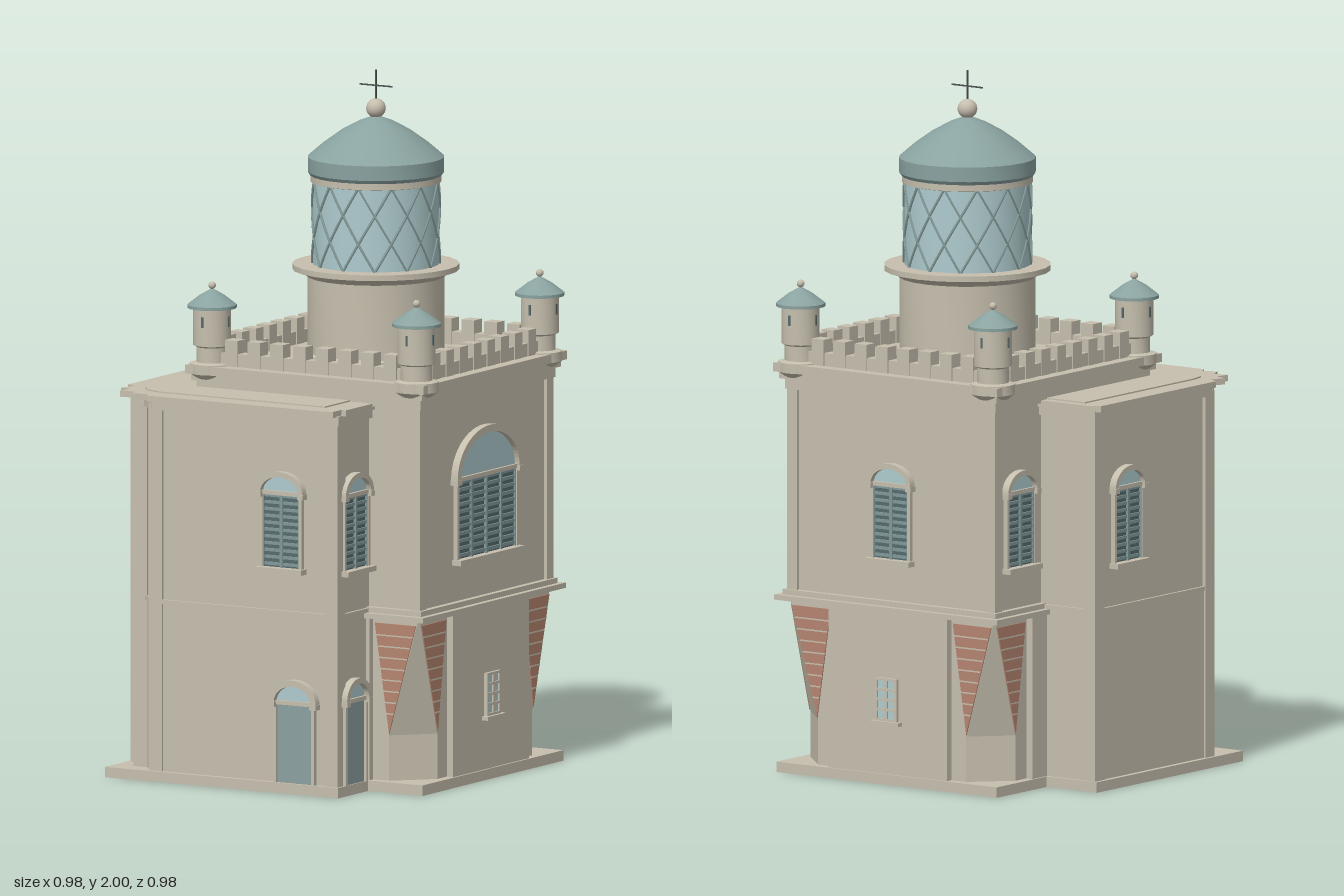
import * as THREE from 'three';
import { toCreasedNormals } from 'three/addons/utils/BufferGeometryUtils.js';

const mat = (name, color) => Object.assign(new THREE.MeshStandardMaterial({ color }), { name });
const stone = mat('stone', 0xc6bfae);
const roofMetal = mat('roofMetal', 0x8aa3a0);
const glass = mat('glass', 0xaecbce);
const doorPaint = mat('doorPaint', 0x8ba09f);
const shutterDark = mat('shutterDark', 0x566b6d);
const slatPaint = mat('slatPaint', 0x82999a);
const brick = mat('brick', 0xb58570);
const iron = mat('iron', 0x4c5251);

const CX = 0.083, CZ = -0.087; // tower axis

function add(parent, name, geo, material, x = 0, y = 0, z = 0) {
  const m = new THREE.Mesh(geo, material);
  m.name = name;
  m.position.set(x, y, z);
  parent.add(m);
  return m;
}
// Box given by its x, y and z ranges
function block(parent, name, x0, x1, y0, y1, z0, z1, material = stone) {
  return add(parent, name, new THREE.BoxGeometry(x1 - x0, y1 - y0, z1 - z0), material,
    (x0 + x1) / 2, (y0 + y1) / 2, (z0 + z1) / 2);
}
// Flat slab from a plan of [x, z] points
function slab(parent, name, plan, y0, y1, material = stone) {
  const shape = new THREE.Shape(plan.map(([x, z]) => new THREE.Vector2(x, -z)));
  const geo = new THREE.ExtrudeGeometry(shape, { depth: y1 - y0, bevelEnabled: false }).rotateX(-Math.PI / 2);
  return add(parent, name, geo, material, 0, y0, 0);
}
function lathe(parent, name, profile, sides, material) {
  const geo = new THREE.LatheGeometry(profile.map(p => new THREE.Vector2(...p)), sides);
  return add(parent, name, toCreasedNormals(geo, 0.5), material);
}
const square = (h, y0, y1, parent, name) => block(parent, name, -h, h, y0, y1, -h, h);
// Group whose local +z points out of a wall
function onWall(parent, name, x, z, turn) {
  const g = new THREE.Group();
  g.name = name;
  g.position.set(x, 0, z);
  g.rotation.y = turn * Math.PI / 2;
  parent.add(g);
  return g;
}

// Arched opening: lunette glass, stone surround, and either louvred shutters or a door
function archedOpening(g, w, y0, spring, rise, t, leaves) {
  const lunette = new THREE.Shape().absellipse(0, 0, w, rise, 0, Math.PI, false);
  add(g, 'archGlass', new THREE.ExtrudeGeometry(lunette, { depth: 0.006, bevelEnabled: false, curveSegments: 16 }), glass, 0, spring, 0);
  const ring = new THREE.Shape();
  ring.moveTo(w + t, 0);
  ring.absellipse(0, 0, w + t, rise + t, 0, Math.PI, false);
  ring.lineTo(-w, 0);
  ring.absellipse(0, 0, w, rise, Math.PI, 0, true);
  add(g, 'archSurround', new THREE.ExtrudeGeometry(ring, { depth: 0.022, bevelEnabled: false, curveSegments: 16 }), stone, 0, spring, 0);
  block(g, 'transom', -w, w, spring - 0.008, spring + 0.004, 0, 0.014);
  for (const s of [-1, 1]) {
    block(g, 'jamb', s * (w + 0.003) - 0.005, s * (w + 0.003) + 0.005, y0, spring, 0, 0.014);
    block(g, 'impost', s * (w + t / 2) - t / 2 - 0.002, s * (w + t / 2) + t / 2 + 0.002, spring - 0.015, spring, 0, 0.024);
  }
  if (!leaves) {
    block(g, 'door', -w, w, y0, spring, 0, 0.006, doorPaint);
    return;
  }
  block(g, 'sill', -w - 0.015, w + 0.015, y0 - 0.015, y0, 0, 0.03);
  block(g, 'shutterBack', -w, w, y0, spring, 0, 0.004, shutterDark);
  const leaf = 2 * w / leaves, rows = 11, step = (spring - y0) / rows;
  for (let i = 0; i < leaves; i++) {
    const x0 = -w + i * leaf;
    for (let r = 0; r < rows; r++)
      block(g, 'slat', x0 + 0.006, x0 + leaf - 0.006, y0 + r * step + 0.005, y0 + (r + 0.7) * step, 0.003, 0.009, slatPaint);
    for (const x of [x0, x0 + leaf - 0.005]) block(g, 'shutterStile', x, x + 0.005, y0, spring, 0, 0.011, slatPaint);
  }
}
// Small barred window, two panes by four
function barredWindow(g) {
  block(g, 'pane', -0.034, 0.034, 0.185, 0.3, 0, 0.005, glass);
  for (const x of [-0.034, 0, 0.034]) block(g, 'bar', x - 0.004, x + 0.004, 0.185, 0.3, 0, 0.01);
  for (let i = 0; i < 5; i++) block(g, 'bar', -0.038, 0.038, 0.183 + i * 0.029, 0.19 + i * 0.029, 0, 0.01);
  block(g, 'sill', -0.05, 0.05, 0.172, 0.183, 0, 0.02);
}

// Square storey whose corners are cut back towards the ground
function chamferedCore(h) {
  const rings = [[0.02, 0.1], [0.16, 0.1], [0.48, 0.008], [0.51, 0]].map(([y, c]) => {
    const k = h - c;
    return [[h, -k], [h, k], [k, h], [-k, h], [-h, k], [-h, -k], [-k, -h], [k, -h]].map(([x, z]) => [x, y, z]);
  });
  const pos = [];
  for (let r = 0; r < 3; r++) for (let i = 0; i < 8; i++) {
    const j = (i + 1) % 8, a = rings[r][i], b = rings[r][j], c = rings[r + 1][j], d = rings[r + 1][i];
    pos.push(...a, ...c, ...b, ...a, ...d, ...c);
  }
  const geo = new THREE.BufferGeometry();
  geo.setAttribute('position', new THREE.Float32BufferAttribute(pos, 3));
  geo.computeVertexNormals();
  return geo;
}
// Leaning brick triangle with mortar courses; s mirrors it
function brickTriangle(g, s) {
  const tri = new THREE.Shape([[0.215, 0.48], [0.262, 0.165], [0.35, 0.48]].map(([x, y]) => new THREE.Vector2(s * x, y)));
  add(g, 'brickwork', new THREE.ExtrudeGeometry(tri, { depth: 0.003, bevelEnabled: false }), brick);
  for (let y = 0.22; y < 0.47; y += 0.032) {
    const f = (y - 0.165) / 0.315, a = s * (0.262 - 0.047 * f), b = s * (0.262 + 0.088 * f);
    block(g, 'mortarCourse', Math.min(a, b), Math.max(a, b), y, y + 0.004, 0, 0.004);
  }
}

function buildTower() {
  const tower = new THREE.Group();
  tower.name = 'tower';
  tower.position.set(CX, 0, CZ);
  square(0.387, 0, 0.03, tower, 'plinth');
  add(tower, 'lowerStorey', chamferedCore(0.36), stone);
  square(0.392, 0.495, 0.51, tower, 'ledge');
  square(0.375, 0.51, 0.525, tower, 'ledgeTop');
  square(0.357, 0.5, 1.16, tower, 'upperStorey');
  square(0.37, 1.1, 1.13, tower, 'frieze');
  square(0.382, 1.13, 1.15, tower, 'corniceLower');
  square(0.394, 1.15, 1.175, tower, 'cornice');
  for (let i = 0; i < 4; i++) {
    const a = i * Math.PI / 2;
    const face = onWall(tower, 'towerFace', Math.sin(a) * 0.36, Math.cos(a) * 0.36, i);
    block(face, 'lowerPanel', -0.208, 0.208, 0.02, 0.5, -0.02, 0.021);
    for (const s of [-1, 1]) {
      brickTriangle(face, s);
      block(face, 'cornerStrip', s * 0.351 - 0.015, s * 0.351 + 0.015, 0.52, 1.11, -0.03, 0.006);
    }
    // battlements
    block(face, 'parapet', -0.32, 0.32, 1.17, 1.212, -0.04, -0.004);
    for (let k = 0; k < 8; k++) {
      const x = (k - 3.5) * 0.075;
      block(face, 'merlon', x - 0.021, x + 0.021, 1.17, 1.25, -0.043, -0.001);
    }
  }
  // windows on the exposed sides
  archedOpening(onWall(tower, 'largeWindow', 0.357, 0, 1), 0.16, 0.645, 0.875, 0.118, 0.02, 4);
  archedOpening(onWall(tower, 'backWindow', 0, -0.357, 2), 0.062, 0.645, 0.86, 0.045, 0.015, 2);
  archedOpening(onWall(tower, 'sideWindow', -0.357, -0.243, 3), 0.062, 0.645, 0.86, 0.045, 0.015, 2);
  barredWindow(onWall(tower, 'barredWindowSide', 0.381, 0, 1));
  barredWindow(onWall(tower, 'barredWindowBack', 0, -0.381, 2));
  // corner turrets
  for (const sx of [-1, 1]) for (const sz of [-1, 1]) {
    const t = new THREE.Group();
    t.name = 'turret';
    t.position.set(sx * 0.338, 0, sz * 0.338);
    tower.add(t);
    lathe(t, 'turretBody', [[0, 1.13], [0.045, 1.135], [0.064, 1.15], [0.064, 1.178], [0.045, 1.182],
      [0.045, 1.225], [0.054, 1.23], [0.054, 1.34]], 20, stone);
    lathe(t, 'turretRoof', [[0, 1.336], [0.07, 1.336], [0.07, 1.345], [0.035, 1.372], [0, 1.392]], 20, roofMetal);
    add(t, 'turretFinial', new THREE.SphereGeometry(0.011, 10, 8), stone, 0, 1.4, 0);
    for (let i = 0; i < 4; i++) {
      const a = i * Math.PI / 2;
      block(onWall(t, 'slit', Math.sin(a) * 0.052, Math.cos(a) * 0.052, i), 'slitOpening', -0.003, 0.003, 1.285, 1.315, 0, 0.004, shutterDark);
    }
  }
  return tower;
}

function buildLantern() {
  const g = new THREE.Group();
  g.name = 'lantern';
  g.position.set(CX, 0, CZ);
  lathe(g, 'drum', [[0.205, 1.17], [0.205, 1.19], [0.194, 1.195], [0.194, 1.41], [0.215, 1.425], [0.237, 1.43],
    [0.237, 1.446], [0, 1.446]], 24, stone);
  lathe(g, 'lanternGlass', [[0.179, 1.44], [0.179, 1.7]], 32, glass);
  lathe(g, 'lanternTopBand', [[0.179, 1.68], [0.186, 1.682], [0.186, 1.71]], 32, stone);
  // diagonal glazing bars winding both ways
  for (let i = 0; i < 12; i++) for (const s of [-1, 1]) {
    const pts = [];
    for (let k = 0; k <= 8; k++) {
      const a = i * Math.PI / 6 + s * k * 0.098;
      pts.push(new THREE.Vector3(Math.sin(a) * 0.181, 1.445 + k * 0.03, Math.cos(a) * 0.181));
    }
    add(g, 'glazingBar', new THREE.TubeGeometry(new THREE.CatmullRomCurve3(pts), 12, 0.004, 4), roofMetal);
  }
  lathe(g, 'lanternRoof', [[0, 1.7], [0.187, 1.7], [0.194, 1.71], [0.194, 1.752], [0.15, 1.79], [0.1, 1.826],
    [0.05, 1.853], [0, 1.872]], 28, roofMetal);
  add(g, 'ball', new THREE.SphereGeometry(0.028, 20, 14), stone, 0, 1.89, 0);
  block(g, 'vaneMast', -0.002, 0.002, 1.91, 2, -0.002, 0.002, iron);
  block(g, 'vaneArm', -0.054, 0.054, 1.953, 1.957, -0.002, 0.002, iron);
  return g;
}

function buildWing() {
  const g = new THREE.Group();
  g.name = 'wing';
  // plan with a cut front corner, grown outwards by o
  const plan = o => [[-0.465 - o, -0.225 - o], [0.28 + o, -0.225 - o], [0.28 + o, 0.45 + o],
    [-0.33 - o * 0.4, 0.45 + o], [-0.465 - o, 0.33 + o * 0.4]];
  block(g, 'plinth', -0.48, 0.29, 0, 0.03, -0.235, 0.465);
  slab(g, 'lowerWalls', plan(0), 0.02, 0.515);
  slab(g, 'stringCourse', plan(0.004), 0.51, 0.522);
  slab(g, 'upperWalls', plan(-0.004), 0.515, 1.09);
  slab(g, 'frieze', plan(0.006), 1.065, 1.092);
  // cornice, chipped along the cut corner
  slab(g, 'cornice', [[-0.485, -0.22], [-0.45, -0.238], [0.295, -0.238], [0.295, 0.43], [0.28, 0.43], [0.28, 0.475],
    [0.25, 0.483], [-0.33, 0.483], [-0.345, 0.455], [-0.385, 0.472], [-0.4, 0.435], [-0.445, 0.44],
    [-0.435, 0.4], [-0.472, 0.39], [-0.455, 0.345], [-0.485, 0.33]], 1.09, 1.108);
  slab(g, 'roof', [[-0.42, -0.21], [0.22, -0.21], [0.22, 0.42], [-0.33, 0.42], [-0.38, 0.4], [-0.41, 0.36], [-0.42, 0.31]], 1.1, 1.112);
  // corner strips
  for (const [x, z] of [[0.262, 0.435], [-0.448, -0.207], [-0.448, 0.32], [-0.32, 0.433], [-0.397, 0.388]])
    block(g, 'cornerStrip', x - 0.022, x + 0.022, 0.02, 1.08, z - 0.022, z + 0.022);

  archedOpening(onWall(g, 'frontWindow', 0.097, 0.446, 0), 0.062, 0.645, 0.86, 0.045, 0.015, 2);
  archedOpening(onWall(g, 'rightWindow', 0.276, 0.357, 1), 0.062, 0.645, 0.86, 0.045, 0.015, 2);
  archedOpening(onWall(g, 'leftWindow', -0.461, -0.07, 3), 0.062, 0.645, 0.86, 0.045, 0.015, 2);
  archedOpening(onWall(g, 'frontDoor', 0.142, 0.45, 0), 0.06, 0.03, 0.262, 0.047, 0.018, 0);
  archedOpening(onWall(g, 'sideDoor', 0.28, 0.366, 1), 0.052, 0.03, 0.272, 0.045, 0.016, 0);
  return g;
}

export function createModel() {
  const model = new THREE.Group();
  model.name = 'lighthouse';
  model.add(buildTower(), buildLantern(), buildWing());
  return model;
}
